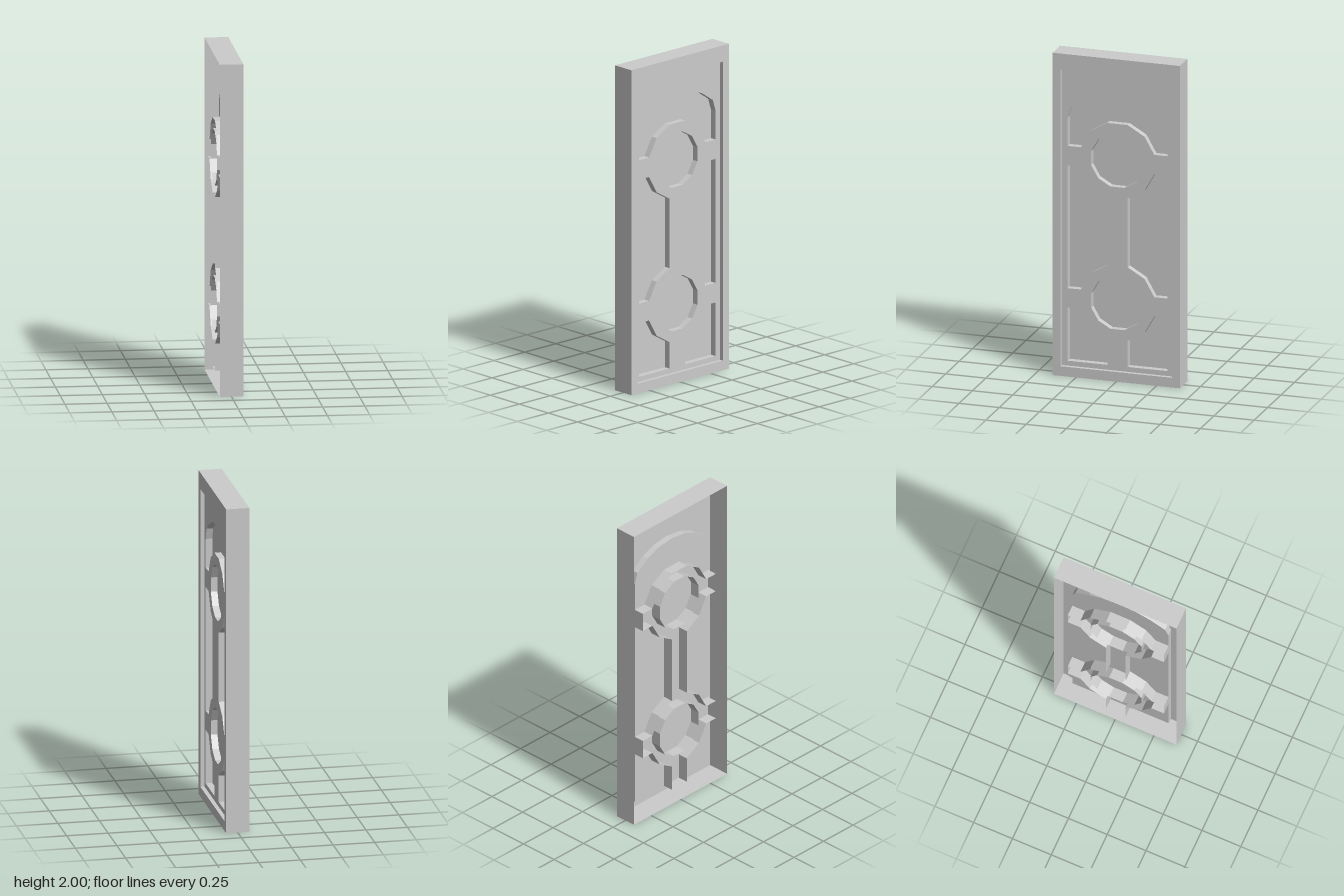
import * as THREE from 'three';

// Depths of the levels along x (decorated face looks to +x, back is open)
const FRONT = 0.07, BACK = -0.07, BAND = 0.045, PANEL = 0.005, TRIM_BACK = -0.06;

const material = new THREE.MeshStandardMaterial({ color: 0xcccccc, flatShading: true, side: THREE.DoubleSide });

const vectors = (pts) => pts.map(([u, y]) => new THREE.Vector2(u, y));
const rectangle = (w, y0, y1) => vectors([[-w, y0], [w, y0], [w, y1], [-w, y1]]);

// Turn a drawing in the (u, y) plane so that it faces +x
function addPart(group, name, geometry) {
  geometry.rotateY(Math.PI / 2);
  const mesh = new THREE.Mesh(geometry, material);
  mesh.name = name;
  group.add(mesh);
}

// Flat face with holes at a given depth
function addFace(group, name, outline, holes, depth) {
  const shape = new THREE.Shape(outline);
  holes.forEach((h) => shape.holes.push(new THREE.Path(h)));
  addPart(group, name, new THREE.ShapeGeometry(shape).translate(0, 0, depth));
}

// Walls along a counterclockwise outline; they face outward when from < to, inward otherwise
function addWalls(group, name, outline, from, to) {
  const positions = [];
  outline.forEach((a, i) => {
    const b = outline[(i + 1) % outline.length];
    positions.push(a.x, a.y, from, b.x, b.y, from, b.x, b.y, to);
    positions.push(a.x, a.y, from, b.x, b.y, to, a.x, a.y, to);
  });
  const geometry = new THREE.BufferGeometry();
  geometry.setAttribute('position', new THREE.Float32BufferAttribute(positions, 3));
  geometry.computeVertexNormals();
  addPart(group, name, geometry);
}

// Twelve-sided hole with flat top and sides
function dodecagon(cy, r) {
  return Array.from({ length: 12 }, (_, i) => {
    const a = Math.PI / 12 + (i * Math.PI) / 6;
    return new THREE.Vector2(r * Math.cos(a), cy + r * Math.sin(a));
  });
}

export function createModel() {
  const door = new THREE.Group();
  door.name = 'door';

  const outer = rectangle(0.395, 0, 2);
  const inner = rectangle(0.345, 0.06, 1.9);

  // Arched recess: right half of the top, mirrored to the left
  const arch = [[0.31, 1.6], [0.288, 1.67], [0.2, 1.73], [0.115, 1.765]];
  const recess = vectors([
    [-0.31, 0.09], [0.31, 0.09], ...arch, [0, 1.78],
    ...arch.map(([u, y]) => [-u, y]).reverse(),
  ]);

  // Trim: two rings with side arms, joined by a vertical bar
  const centres = [0.48, 1.363];
  const rightSide = [[0.063, 0.09]];
  for (const c of centres) {
    rightSide.push(
      [0.063, c - 0.228], [0.167, c - 0.167], [0.228, c - 0.06], [0.31, c - 0.06],
      [0.31, c + 0.06], [0.228, c + 0.06], [0.167, c + 0.167], [0.063, c + 0.228],
    );
  }
  const trim = vectors([...rightSide, ...rightSide.map(([u, y]) => [-u, y]).reverse()]);
  const holes = centres.map((c) => dodecagon(c, 0.17));

  // Frame shell with its front rim
  addWalls(door, 'frameSides', outer, BACK, FRONT);
  addFace(door, 'frameRim', outer, [inner], FRONT);
  addWalls(door, 'frameStep', inner, FRONT, BAND);

  // Band around the arch and the recessed panel
  addFace(door, 'archBand', inner, [recess], BAND);
  addWalls(door, 'archWalls', recess, BAND, PANEL);
  addFace(door, 'recessedPanel', recess, [], PANEL);

  // Hollow trim that passes through the panel, open at the back
  addFace(door, 'trimFace', trim, holes, BAND);
  addWalls(door, 'trimWalls', trim, TRIM_BACK, BAND);
  holes.forEach((h) => addWalls(door, 'ringHoleWalls', h, BAND, TRIM_BACK));

  return door;
}
